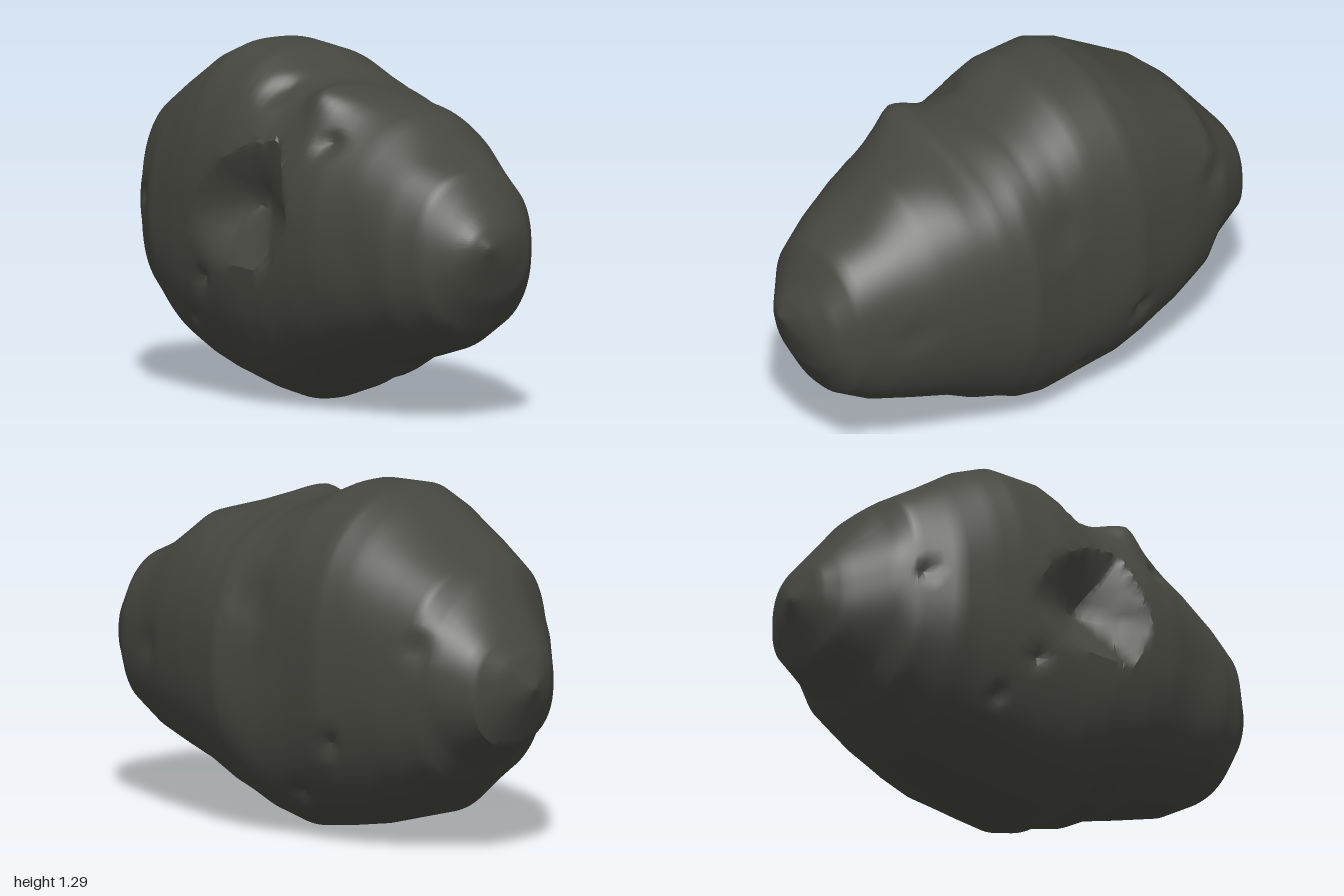
import * as THREE from 'three';
import { mergeVertices, toCreasedNormals } from 'three/addons/utils/BufferGeometryUtils.js';

// Cross-sections along the long axis: x, bottom y, top y, back z, front z
const SECTIONS = [
  [-1, 0.64, 0.64, -0.04, -0.04],
  [-0.95, 0.53, 0.76, -0.17, 0.09],
  [-0.9, 0.42, 0.83, -0.27, 0.16],
  [-0.76, 0.32, 1.01, -0.35, 0.30],
  [-0.7, 0.26, 1.06, -0.37, 0.34],
  [-0.55, 0.12, 1.15, -0.41, 0.42],
  [-0.4, 0.08, 1.25, -0.44, 0.44],
  [-0.29, 0.05, 1.295, -0.465, 0.45],
  [-0.1, 0.015, 1.285, -0.445, 0.465],
  [0.02, 0, 1.23, -0.445, 0.46],
  [0.12, 0.035, 1.19, -0.46, 0.46],
  [0.2, 0.085, 1.185, -0.475, 0.455],
  [0.3, 0.10, 1.195, -0.45, 0.445],
  [0.42, 0.17, 1.145, -0.42, 0.425],
  [0.57, 0.21, 1.10, -0.375, 0.365],
  [0.72, 0.25, 0.98, -0.31, 0.325],
  [0.85, 0.33, 0.92, -0.26, 0.25],
  [0.93, 0.46, 0.79, -0.19, 0.16],
  [0.97, 0.57, 0.73, -0.10, 0.11],
  [1, 0.66, 0.66, 0.04, 0.04],
];

// Softened sections for the surface between the main outlines
const SOFT = SECTIONS.map((row, i) => {
  if (i < 3 || i > SECTIONS.length - 5) return row;
  return row.map((v, n) => (n ? (SECTIONS[i - 1][n] + 2 * v + SECTIONS[i + 1][n]) / 4 : v));
});

// Crater rim seen from the front, counter-clockwise, and its deepest point
const RIM = [[0.31, 0.7], [0.25, 0.87], [0.19, 1.0], [0.03, 0.97], [-0.15, 0.87],
  [-0.21, 0.78], [-0.27, 0.68], [-0.14, 0.53], [0.2, 0.515]];
const PIT = [0.03, 0.74];

// Small chips: x, y, side (front 1, back -1), radius, depth
const CHIPS = [
  [-0.22, 0.45, 1, 0.05, 0.035], [-0.66, 0.7, 1, 0.05, 0.03], [0.4, 1.0, 1, 0.06, 0.04],
  [0.05, 1.16, 1, 0.07, 0.05], [-0.35, 0.29, 1, 0.05, 0.025],
  [-0.7, 0.79, -1, 0.08, 0.02], [-0.32, 0.4, -1, 0.06, 0.03], [0.05, 0.88, -1, 0.12, 0.02],
  [-0.1, 0.18, -1, 0.06, 0.03], [0.65, 0.63, -1, 0.08, 0.015],
];

// Ratio 0 at the pit to 1 on the rim
function rimRatio(x, y) {
  const px = x - PIT[0], py = y - PIT[1];
  let ratio = 0;
  RIM.forEach((a, i) => {
    const b = RIM[(i + 1) % RIM.length];
    const ex = b[0] - a[0], ey = b[1] - a[1];
    const reach = ey * (a[0] - PIT[0]) - ex * (a[1] - PIT[1]);
    ratio = Math.max(ratio, (ey * px - ex * py) / reach);
  });
  return ratio;
}

// Point on the surface, from an exact section and its softened twin
function surfacePoint(exact, soft, angle) {
  const c = Math.cos(angle), s = Math.sin(angle);
  const side = Math.sign(c);
  const outline = Math.max(Math.abs(c), Math.abs(s)) ** 10;
  let [x, y0, y1, z0, z1] = exact.map((v, n) => THREE.MathUtils.lerp(soft[n], v, outline));
  const ry = (y1 - y0) / 2, rz = (z1 - z0) / 2;

  // The top is squarer on the right, and one crest near x = 0.3 leans to the front
  let power = 0.87, lean = 0;
  if (s > 0) {
    const left = THREE.MathUtils.smoothstep(x, -0.1, 0.3);
    power = 0.77 + 0.1 * left;
    lean = 0.1 * (1 - left) + 0.4 * Math.exp(-(((x - 0.3) / 0.12) ** 2));
  }
  let y = (y0 + y1) / 2 + ry * Math.sign(s) * Math.abs(s) ** power;
  let z = (z0 + z1) / 2 + rz * (side * Math.abs(c) ** power + lean * s ** 6);

  // Gentle lumps that fade out at the silhouette
  const lump = Math.sin(7 * x + 5 * y + 1) * Math.sin(8 * y - 4 * x) * Math.cos(6 * x + c * 2);
  z += 0.012 * lump * c * s * s * Math.min(1, rz * 4);

  for (const [cx, cy, cs, r, d] of CHIPS) {
    const t = Math.hypot(x - cx, y - cy) / r;
    if (cs === side && t < 1) z -= side * d * (1 - t);
  }

  // Crater, with nearby points drawn onto the rim for a clean edge
  if (side > 0) {
    const t = rimRatio(x, y);
    if (Math.abs(t - 1) < 0.05) {
      x = PIT[0] + (x - PIT[0]) / t;
      y = PIT[1] + (y - PIT[1]) / t;
    } else if (t < 1) {
      z -= 0.155 * (1 - t);
    }
  }
  return [x, y, z];
}

// Rows between the stations of a section table
function fillRows(table, steps) {
  const rows = [];
  for (let i = 0; i < table.length - 1; i++) {
    for (let k = 0; k < steps; k++) {
      rows.push(table[i].map((v, n) => THREE.MathUtils.lerp(v, table[i + 1][n], k / steps)));
    }
  }
  rows.push(table[table.length - 1]);
  return rows;
}

function rockGeometry() {
  const around = 112;
  const rows = fillRows(SECTIONS, 5), softRows = fillRows(SOFT, 5);
  const positions = [], index = [];
  rows.forEach((row, i) => {
    for (let j = 0; j < around; j++) {
      positions.push(...surfacePoint(row, softRows[i], j / around * Math.PI * 2));
      if (i === rows.length - 1) continue;
      const a = i * around + j, b = i * around + (j + 1) % around;
      const c = a + around, d = b + around;
      if (i < rows.length - 2) index.push(a, c, d);
      else index.push(a, c, b);
      if (i > 0 && i < rows.length - 2) index.push(a, d, b);
    }
  });

  const geometry = new THREE.BufferGeometry();
  geometry.setAttribute('position', new THREE.Float32BufferAttribute(positions, 3));
  geometry.setIndex(index);
  return toCreasedNormals(mergeVertices(geometry), 0.6);
}

export function createModel() {
  const stone = new THREE.MeshStandardMaterial({ color: 0x45463f });
  stone.name = 'dark stone';

  const rock = new THREE.Mesh(rockGeometry(), stone);
  rock.name = 'crateredRock';

  const model = new THREE.Group();
  model.name = 'asteroid';
  model.add(rock);
  return model;
}
